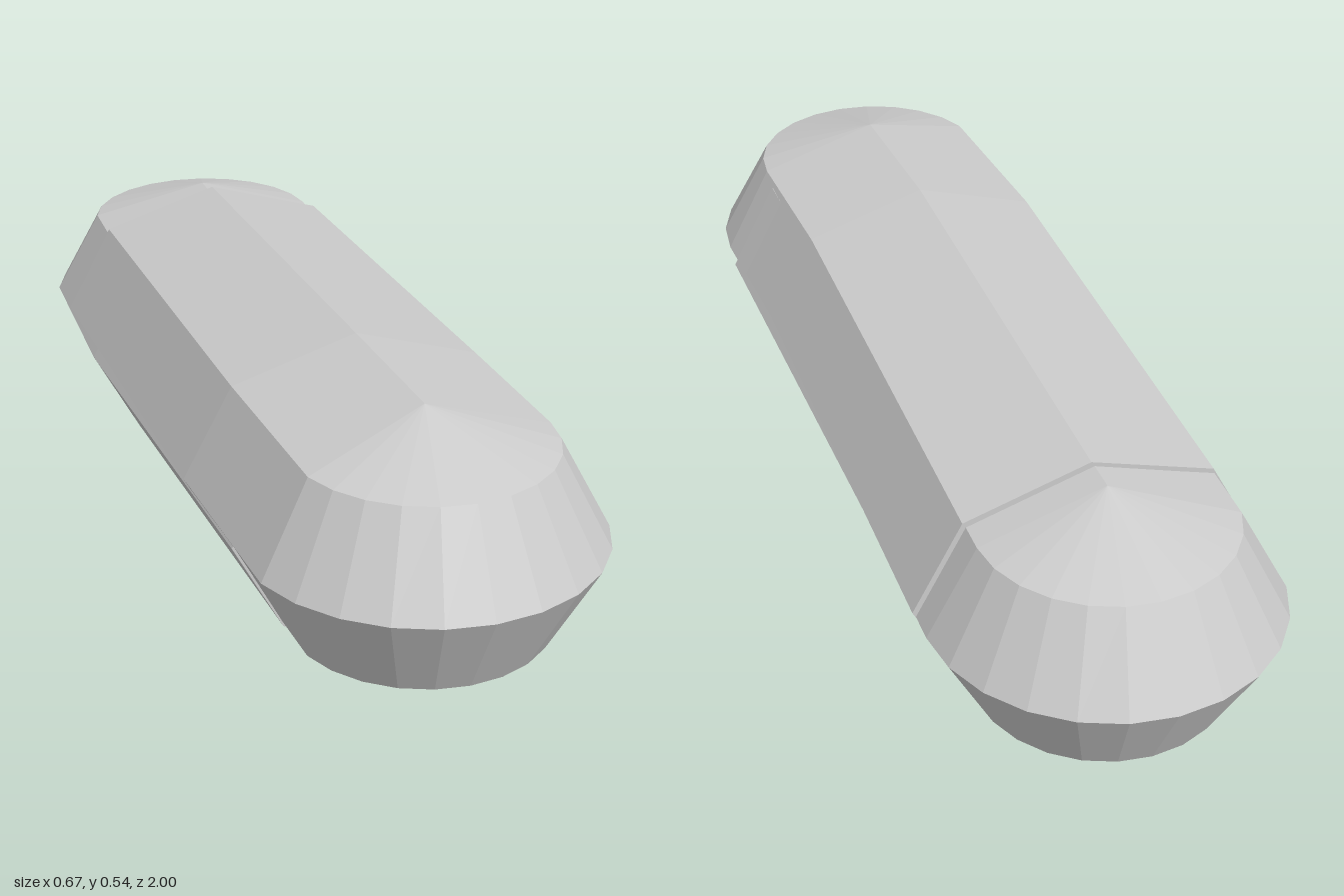
import * as THREE from 'three';

// Ring profile as [radius, height], from top apex to bottom apex
const PROFILE = [[0, 0.244], [0.237, 0.172], [0.33, 0], [0.237, -0.172], [0, -0.244]];

// Closed shell: a faceted round nose at +z, a slightly bent body and a flat tail
function shellGeometry() {
  const nose = [0, 0.026, 0.67], bend = [-0.007, 0.026, 0.35], tail = [0.005, -0.016, -0.61];

  // Columns run from the right tail edge round the nose to the left tail edge
  const columns = [[tail, 0], [bend, 0]];
  for (let i = 0; i < 12; i++) columns.push([nose, i * Math.PI / 12]);
  columns.push([bend, Math.PI], [tail, Math.PI]);

  const point = ([axis, angle], [radius, height]) => new THREE.Vector3(
    axis[0] + radius * Math.cos(angle), axis[1] + height, axis[2] + radius * Math.sin(angle));

  const positions = [];
  const triangle = (a, b, c) => {
    if (new THREE.Triangle(a, b, c).getArea() < 1e-7) return;
    for (const p of [a, b, c]) positions.push(p.x, p.y, p.z);
  };

  // The last column joins the first, which closes the flat tail
  columns.forEach((col, i) => {
    const next = columns[(i + 1) % columns.length];
    for (let k = 0; k < PROFILE.length - 1; k++) {
      const a = point(col, PROFILE[k]), b = point(next, PROFILE[k]);
      const c = point(next, PROFILE[k + 1]), d = point(col, PROFILE[k + 1]);
      triangle(a, b, c);
      triangle(a, c, d);
    }
  });

  const geometry = new THREE.BufferGeometry();
  geometry.setAttribute('position', new THREE.Float32BufferAttribute(positions, 3));
  geometry.computeVertexNormals();
  return geometry;
}

export function createModel() {
  const group = new THREE.Group();
  group.name = 'capsule';
  const material = new THREE.MeshStandardMaterial({ color: 0xcccccc, flatShading: true });
  const geometry = shellGeometry();

  // Two overlapping shells, the second turned over end to end
  ['frontShell', 'backShell'].forEach((name, i) => {
    const shell = new THREE.Mesh(geometry, material);
    shell.name = name;
    shell.position.y = 0.27;
    shell.rotation.x = i * Math.PI;
    group.add(shell);
  });
  return group;
}
